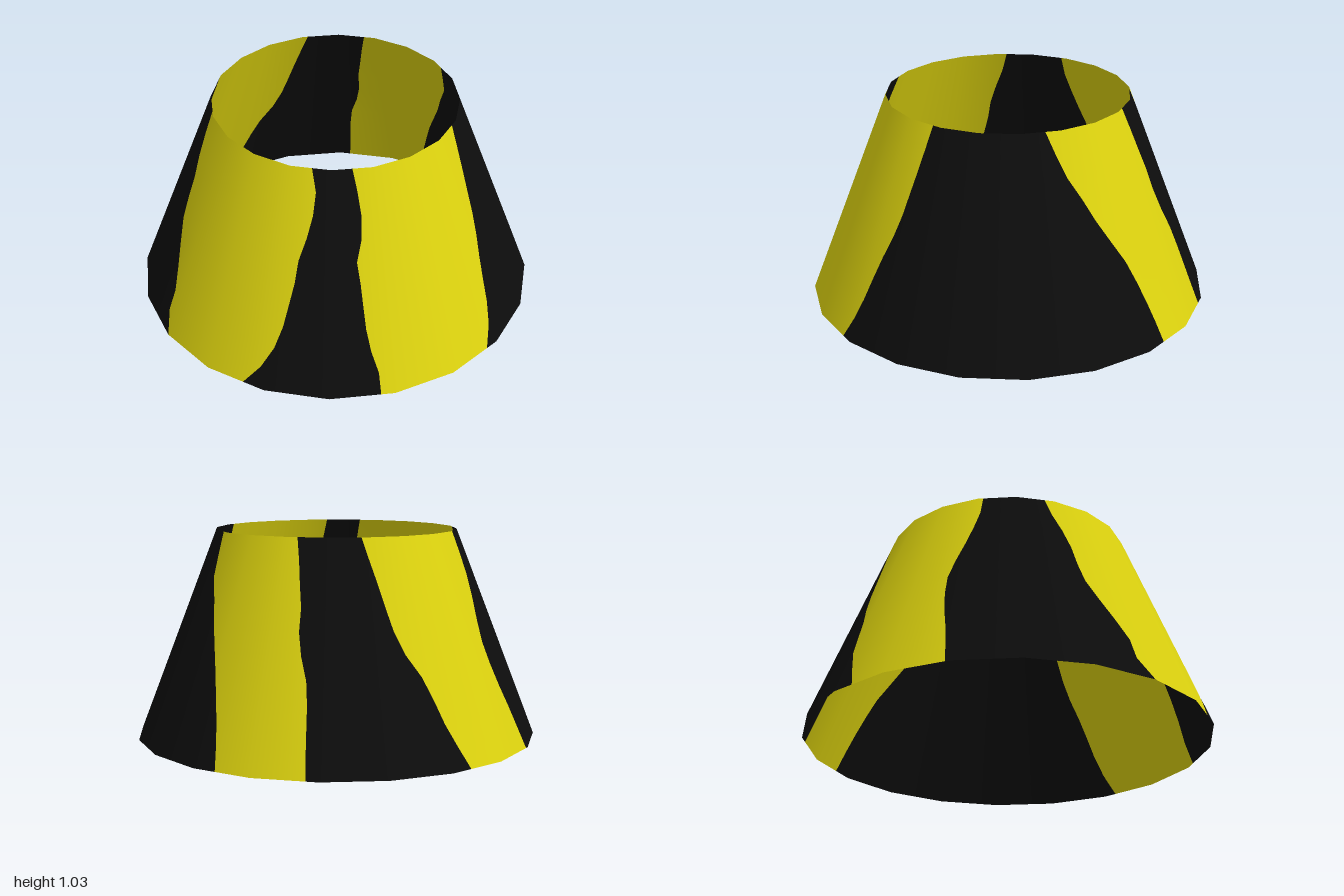
import * as THREE from 'three';

const HEIGHT = 1.03, BOTTOM = 1, TOP = 0.6, SIDES = 20, STEP = 360 / SIDES;

// Wavy stripe borders: angles in degrees (0 = front, 90 = left) at even heights, bottom to top.
const borders = [
  [-36, -39.6, -39.6, -42.4, -45.9, -49.5, -50.8, -51.5, -53.7, -56.5, -58.5],
  [-6.6, -1.8, 1.6, 3.6, 4.8, 6.1, 6.8, 9.2, 11.1, 11.8, 9.6],
  [32.2, 32, 30.2, 29.1, 28.6, 28.1, 27.2, 29.3, 29.7, 28.7, 27],
  [68, 71, 73, 74.4, 76.1, 78.4, 80.2, 81.4, 82.8, 84.2, 85.7],
  [169, 167.7, 166, 163.8, 161.2, 157.3, 153, 149, 144, 140.5, 137],
  [194.6, 194.3, 194.1, 193.9, 193.2, 191, 189.6, 189.6, 188.3, 187, 185.2],
  [240.5, 237.5, 234.5, 232.5, 230, 225.5, 222.5, 220.5, 218.5, 216, 213.5],
  [268.9, 268, 267, 265.5, 264.4, 264, 265.7, 268.2, 270.5, 272.3, 272.7],
];
borders.push(borders[0].map((a) => a + 360));

// Patch of the 20-sided cone wall between two borders, with smooth normals.
function wallPatch(from, to) {
  const rows = from.length, positions = [], normals = [], index = [];
  const first = Math.floor(Math.min(...from) / STEP);
  const last = Math.ceil(Math.max(...to) / STEP);
  const cols = last - first + 1;
  const slope = (BOTTOM - TOP) / HEIGHT;
  for (let i = 0; i < rows; i++) {
    const t = i / (rows - 1), r = BOTTOM + (TOP - BOTTOM) * t;
    for (let k = first; k <= last; k++) {
      const deg = Math.min(Math.max(k * STEP, from[i]), to[i]);
      const a = THREE.MathUtils.degToRad(deg);
      // pull the point in onto the flat side
      const mid = (Math.floor(deg / STEP) + 0.5) * STEP;
      const d = r * Math.cos(Math.PI / SIDES) / Math.cos(THREE.MathUtils.degToRad(deg - mid));
      positions.push(d * Math.sin(a), t * HEIGHT, d * Math.cos(a));
      const n = new THREE.Vector3(Math.sin(a), slope, Math.cos(a)).normalize();
      normals.push(n.x, n.y, n.z);
    }
  }
  // skip triangles that collapse at the borders
  const p = [0, 1, 2].map(() => new THREE.Vector3());
  const addTriangle = (...ids) => {
    ids.forEach((id, j) => p[j].fromArray(positions, id * 3));
    if (new THREE.Triangle(...p).getArea() > 1e-7) index.push(...ids);
  };
  for (let i = 0; i < rows - 1; i++) {
    for (let k = 0; k < cols - 1; k++) {
      const a = i * cols + k, b = a + 1, c = a + cols, d = c + 1;
      addTriangle(a, b, d);
      addTriangle(a, d, c);
    }
  }
  const geometry = new THREE.BufferGeometry();
  geometry.setAttribute('position', new THREE.Float32BufferAttribute(positions, 3));
  geometry.setAttribute('normal', new THREE.Float32BufferAttribute(normals, 3));
  geometry.setIndex(index);
  return geometry;
}

export function createModel() {
  const yellow = new THREE.MeshStandardMaterial({ color: 0xded40f, side: THREE.DoubleSide });
  yellow.name = 'yellow';
  const black = new THREE.MeshStandardMaterial({ color: 0x0d0d0d, side: THREE.DoubleSide });
  black.name = 'black';

  const group = new THREE.Group();
  group.name = 'stripedConeRing';
  // Alternating yellow and black stripes around the open ring
  for (let i = 0; i < borders.length - 1; i++) {
    const isYellow = i % 2 === 0;
    const stripe = new THREE.Mesh(wallPatch(borders[i], borders[i + 1]), isYellow ? yellow : black);
    stripe.name = (isYellow ? 'yellowStripe' : 'blackStripe') + (Math.floor(i / 2) + 1);
    group.add(stripe);
  }
  return group;
}
